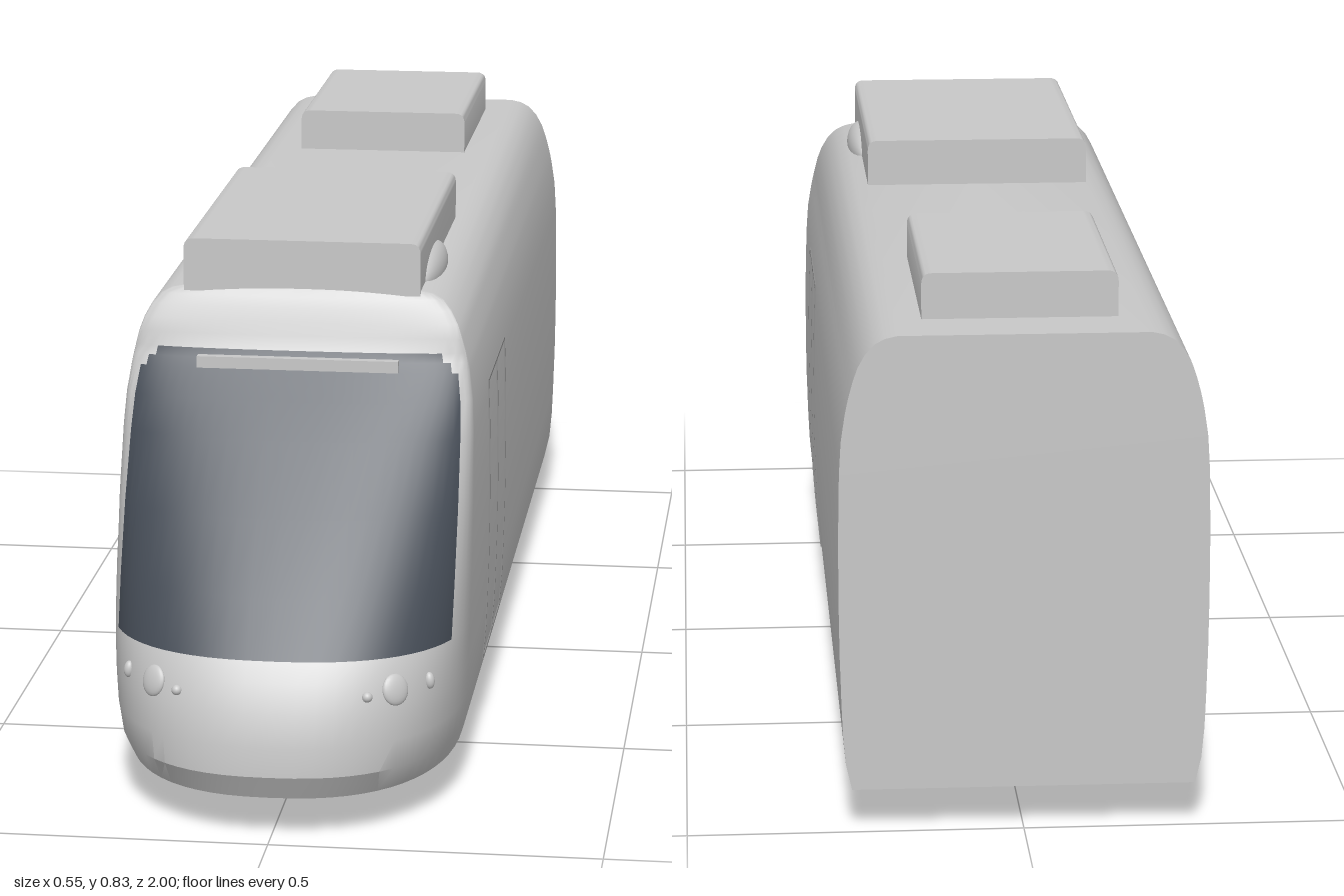
import * as THREE from 'three';
import { toCreasedNormals } from 'three/addons/utils/BufferGeometryUtils.js';

const shellPaint = new THREE.MeshStandardMaterial({ color: 0xc8c8c8 });
shellPaint.name = 'light grey';
const glass = new THREE.MeshStandardMaterial({ color: 0x454c56 });
glass.name = 'dark glass';
const seam = new THREE.MeshStandardMaterial({ color: 0x8c8c8c });
seam.name = 'seam grey';

// Body levels: height, half width, nose z
const LEVELS = [
  [0.066, 0.255, 0.978], [0.105, 0.264, 1.0], [0.15, 0.268, 0.998], [0.2, 0.27, 0.985],
  [0.24, 0.271, 0.968], [0.27, 0.272, 0.95], [0.35, 0.273, 0.893], [0.45, 0.273, 0.815],
  [0.55, 0.271, 0.733], [0.6, 0.268, 0.692], [0.64, 0.262, 0.658], [0.655, 0.259, 0.646],
  [0.668, 0.256, 0.637], [0.69, 0.25, 0.63], [0.71, 0.243, 0.622], [0.73, 0.232, 0.615],
  [0.745, 0.218, 0.607], [0.753, 0.203, 0.602], [0.757, 0.185, 0.6],
];
const POWER = 2.4; // roundness of the nose in plan
const noseDepth = (y) => Math.max(0.015, y < 0.28 ? 0.25 + (0.28 - y) * 0.5 : 0.25 - 0.58 * (y - 0.28));

function levelAt(y) {
  let i = 0;
  while (i < LEVELS.length - 2 && LEVELS[i + 1][0] < y) i++;
  const [a, b] = [LEVELS[i], LEVELS[i + 1]];
  const t = (y - a[0]) / (b[0] - a[0]);
  return { w: a[1] + (b[1] - a[1]) * t, z: a[2] + (b[2] - a[2]) * t };
}

// z of the nose surface at a given x and y
function noseZ(x, y) {
  const { w, z } = levelAt(y);
  const u = Math.min(1, Math.abs(x) / w);
  return z - noseDepth(y) * (1 - Math.pow(1 - Math.pow(u, POWER), 1 / POWER));
}

function noseNormal(x, y) {
  const e = 0.004;
  return new THREE.Vector3(
    -(noseZ(x + e, y) - noseZ(x - e, y)) / (2 * e),
    -(noseZ(x, y + e) - noseZ(x, y - e)) / (2 * e), 1).normalize();
}

// Shell from stacked plan outlines, with the windscreen as a second material
function bodyGeometry() {
  const half = 16, cols = 2 * half + 3;
  const points = [], shell = [], screen = [];
  for (const [y, w, zf] of LEVELS) {
    const d = noseDepth(y);
    points.push(-w, y, -1);
    for (let i = -half; i <= half; i++) {
      const t = (Math.abs(i) / half) * Math.PI / 2;
      const u = Math.pow(Math.sin(t), 2 / POWER);
      const v = Math.pow(Math.max(0, Math.cos(t)), 2 / POWER);
      points.push(Math.sign(i) * w * u, y, zf - d * (1 - v));
    }
    points.push(w, y, -1);
  }
  for (let r = 0; r < LEVELS.length - 1; r++) {
    const y = LEVELS[r][0];
    // glass columns narrow near the top for rounded corners
    const reach = y < 0.27 || y > 0.66 ? 0 : y > 0.65 ? 10 : y > 0.63 ? 11 : 12;
    for (let c = 0; c < cols; c++) {
      const n = (c + 1) % cols;
      const a = r * cols + c, b = r * cols + n;
      const isGlass = Math.abs(c - 1 - half + 0.5) < reach;
      (isGlass ? screen : shell).push(a, b, b + cols, a, b + cols, a + cols);
    }
  }
  // floor and roof
  const top = (LEVELS.length - 1) * cols, mid = points.length / 3;
  points.push(0, LEVELS[0][0], 0, 0, LEVELS[LEVELS.length - 1][0], 0);
  for (let c = 0; c < cols; c++) {
    const n = (c + 1) % cols;
    shell.push(mid, n, c, mid + 1, top + c, top + n);
  }
  const geo = new THREE.BufferGeometry();
  geo.setAttribute('position', new THREE.Float32BufferAttribute(points, 3));
  geo.setIndex([...shell, ...screen]);
  geo.addGroup(0, shell.length, 0);
  geo.addGroup(shell.length, screen.length, 1);
  return toCreasedNormals(geo, 0.45);
}

// Roof box with rounded long top edges
function roofBox(halfWidth, y0, y1, z0, z1) {
  const r = 0.016;
  const s = new THREE.Shape();
  s.moveTo(-halfWidth, y0);
  s.lineTo(halfWidth, y0);
  s.lineTo(halfWidth, y1 - r);
  s.quadraticCurveTo(halfWidth, y1, halfWidth - r, y1);
  s.lineTo(-halfWidth + r, y1);
  s.quadraticCurveTo(-halfWidth, y1, -halfWidth, y1 - r);
  const geo = new THREE.ExtrudeGeometry(s, { depth: z1 - z0, bevelEnabled: false, curveSegments: 6 });
  geo.translate(0, 0, z0);
  return toCreasedNormals(geo, 0.6);
}

// Thin strip lying on the curved body side
function sideStrip(side, y0, y1, z0, z1) {
  const geo = new THREE.BoxGeometry(0.004, y1 - y0, z1 - z0, 1, 8, 1);
  geo.translate(0, (y0 + y1) / 2, (z0 + z1) / 2);
  const p = geo.attributes.position;
  for (let i = 0; i < p.count; i++) p.setX(i, p.getX(i) + side * levelAt(p.getY(i)).w);
  geo.computeVertexNormals();
  return geo;
}

export function createModel() {
  const model = new THREE.Group();
  model.name = 'tram';
  const add = (name, geo, mat = shellPaint) => {
    const mesh = new THREE.Mesh(geo, mat);
    mesh.name = name;
    model.add(mesh);
    return mesh;
  };

  add('bodyAndWindscreen', bodyGeometry(), [shellPaint, glass]);
  add('frontRoofBox', roofBox(0.183, 0.75, 0.832, 0.05, 0.6));
  add('rearRoofBox', roofBox(0.145, 0.75, 0.826, -0.9, -0.49));

  // Light bar at the top of the windscreen
  const bar = add('windscreenBar', new THREE.BoxGeometry(0.31, 0.018, 0.014));
  bar.position.set(0, 0.651, noseZ(0.08, 0.651) + 0.001);

  for (const side of [-1, 1]) {
    // Fairings beside the front roof box
    const fairing = add('roofFairing', new THREE.SphereGeometry(1, 24, 16));
    fairing.scale.set(0.026, 0.034, 0.12);
    fairing.position.set(side * 0.178, 0.755, 0.41);

    // Lamps: x, radius across, radius up
    for (const [x, rx, ry] of [[0.182, 0.022, 0.024], [0.228, 0.008, 0.013], [0.143, 0.008, 0.008]]) {
      const lamp = add('headlamp', new THREE.SphereGeometry(1, 24, 12));
      const y = x > 0.15 ? 0.225 : 0.22;
      lamp.position.set(side * x, y, noseZ(side * x, y));
      lamp.lookAt(lamp.position.clone().add(noseNormal(side * x, y)));
      lamp.scale.set(rx, ry, 0.008);
    }

    // Door seams
    for (const z of [0.115, 0.255, 0.4]) add('doorSeam', sideStrip(side, 0.11, 0.57, z - 0.002, z + 0.002), seam);
    for (const y of [0.11, 0.57]) add('doorEdge', sideStrip(side, y - 0.002, y + 0.002, 0.115, 0.4), seam);
  }

  // Wheel sets
  for (const z of [-0.255, -0.665]) {
    const across = (name, radius, width, x) => {
      const mesh = add(name, new THREE.CylinderGeometry(radius, radius, width, 36));
      mesh.rotation.z = Math.PI / 2;
      mesh.position.set(x, 0.067, z);
    };
    across('axle', 0.011, 0.32, 0);
    for (const side of [-1, 1]) {
      across('wheelFlange', 0.067, 0.009, side * 0.161);
      across('wheelTread', 0.059, 0.022, side * 0.175);
    }
  }
  return model;
}
